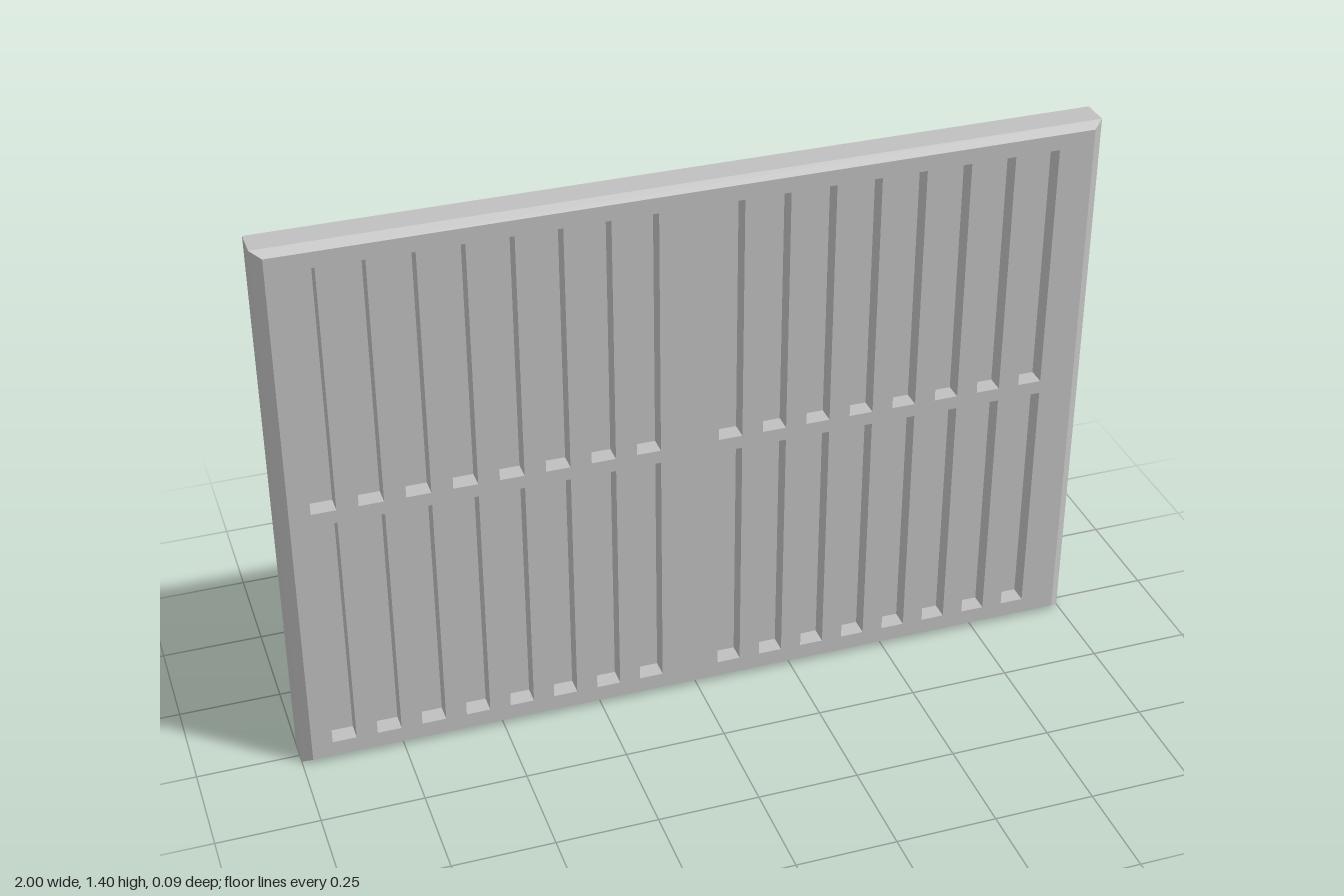
import * as THREE from 'three';

const WIDTH = 2, HEIGHT = 1.4, BACK = -0.045, FRONT = 0.045;

// Skin joining rectangular loops [halfWidth, halfHeight, z]; optionally closes the last loop.
function loftRects(loops, closed) {
  const corner = ([w, h, z], i) => [[-w, -h, z], [w, -h, z], [w, h, z], [-w, h, z]][i % 4];
  const pos = [];
  const quad = (a, b, c, d) => pos.push(...a, ...b, ...c, ...a, ...c, ...d);
  for (let k = 0; k < loops.length - 1; k++) {
    for (let i = 0; i < 4; i++) {
      quad(corner(loops[k], i), corner(loops[k], i + 1), corner(loops[k + 1], i + 1), corner(loops[k + 1], i));
    }
  }
  const last = loops[loops.length - 1];
  if (closed) quad(corner(last, 0), corner(last, 1), corner(last, 2), corner(last, 3));
  const geometry = new THREE.BufferGeometry();
  geometry.setAttribute('position', new THREE.Float32BufferAttribute(pos, 3));
  geometry.computeVertexNormals();
  return geometry;
}

function rectPath(PathType, x, y, w, h) {
  return new PathType([
    new THREE.Vector2(x - w, y - h), new THREE.Vector2(x + w, y - h),
    new THREE.Vector2(x + w, y + h), new THREE.Vector2(x - w, y + h),
  ]);
}

export function createModel() {
  const group = new THREE.Group();
  group.name = 'slottedPanel';
  const grey = new THREE.MeshStandardMaterial({ color: 0xc0c0c0, side: THREE.DoubleSide });
  grey.name = 'panelGrey';

  const add = (name, geometry, x, y, z = 0) => {
    const mesh = new THREE.Mesh(geometry, grey);
    mesh.name = name;
    mesh.position.set(x, y, z);
    group.add(mesh);
  };

  // Slot centres: two banks of eight columns, two rows
  const slotW = 0.0295, slotH = 0.314, pitch = 0.1107;
  const slots = [];
  for (const start of [-0.895, 0.083]) {
    for (let i = 0; i < 8; i++) {
      for (const y of [0.37, 1.032]) slots.push([start + i * pitch, y]);
    }
  }

  // Outer skirt, open at the back, with a bevel towards the front
  const w = WIDTH / 2, h = HEIGHT / 2;
  add('rim', loftRects([[w, h, BACK], [w, h, 0.025], [w - 0.025, h - 0.015, FRONT]], false), 0, h);

  // Front plate with slot openings
  const plate = rectPath(THREE.Shape, 0, h, w - 0.025, h - 0.015);
  for (const [x, y] of slots) plate.holes.push(rectPath(THREE.Path, x, y, slotW, slotH));
  add('frontPlate', new THREE.ShapeGeometry(plate), 0, 0, FRONT);

  // Recessed pocket inside each slot and its chamfered housing behind the plate
  const pocket = loftRects([[slotW, slotH, FRONT], [slotW, slotH, 0]], true);
  const ow = slotW + 0.005, oh = slotH + 0.005;
  const housing = loftRects([
    [ow, oh, FRONT - 0.001], [ow, oh, 0.002], [ow - 0.007, oh - 0.007, -0.005],
  ], true);
  for (const [x, y] of slots) {
    add('slotPocket', pocket, x, y);
    add('slotHousing', housing, x, y);
  }
  return group;
}
